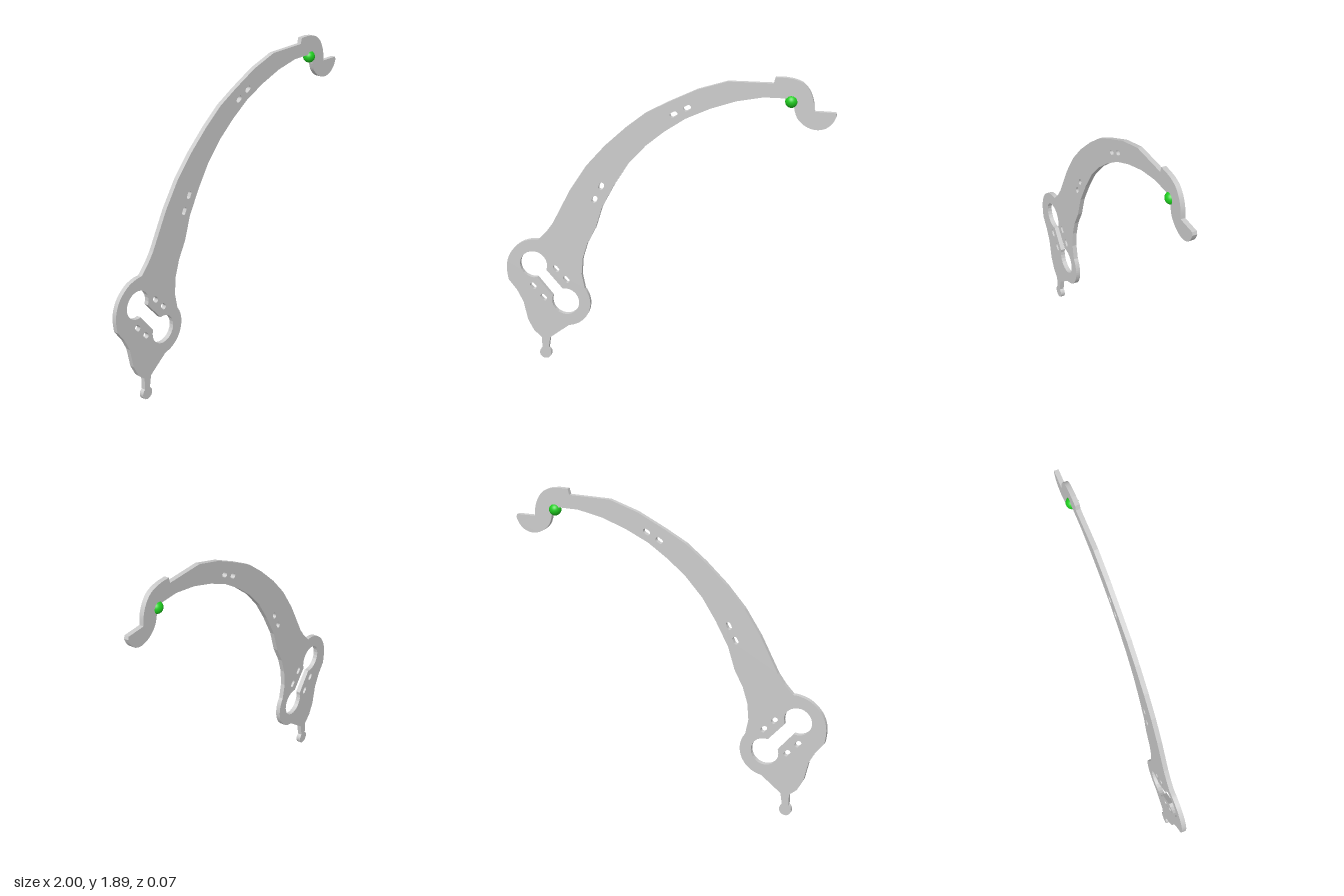
import * as THREE from 'three';

const THICKNESS = 0.028;

// Rounded slot hole centred on (x, y), with its long axis turned by angle
function slotHole(x, y, angle, length = 0.048, width = 0.03) {
  const r = width / 2, d = length / 2 - r;
  const dx = Math.cos(angle) * d, dy = Math.sin(angle) * d;
  const hole = new THREE.Path();
  hole.absarc(x + dx, y + dy, r, angle - Math.PI / 2, angle + Math.PI / 2);
  hole.absarc(x - dx, y - dy, r, angle + Math.PI / 2, angle + Math.PI * 1.5);
  hole.closePath();
  return hole;
}

// Two round openings joined by a diagonal channel
function doubleKeyhole() {
  const hole = new THREE.Path();
  hole.absarc(-0.826, 0.636, 0.087, -0.36, Math.PI * 2 - 1.33);
  hole.absarc(-0.626, 0.404, 0.087, 2.81, Math.PI * 2 + 1.78);
  hole.closePath();
  return hole;
}

function plateShape() {
  const s = new THREE.Shape();
  const lines = (pts) => pts.forEach(([x, y]) => s.lineTo(x, y));

  // Knob at the foot, its neck and the lower right lobe
  s.absarc(-0.767, 0.038, 0.038, Math.PI * 0.68, Math.PI * 2.32);
  s.lineTo(-0.735, 0.145);
  s.absarc(-0.628, 0.402, 0.16, -1.45, 0.65);
  // Inner edge of the arm
  lines([
    [-0.519, 0.594], [-0.51, 0.7], [-0.479, 0.8], [-0.425, 0.904], [-0.382, 1.043],
    [-0.302, 1.193], [-0.217, 1.326], [-0.11, 1.444], [0, 1.535], [0.126, 1.62],
    [0.27, 1.687], [0.425, 1.74], [0.58, 1.77], [0.71, 1.77],
  ]);
  // Hook
  lines([[0.748, 1.755], [0.758, 1.7]]);
  s.splineThru([
    [0.778, 1.652], [0.826, 1.61], [0.885, 1.593], [0.938, 1.604],
    [0.976, 1.636], [0.998, 1.679],
  ].map(([x, y]) => new THREE.Vector2(x, y)));
  lines([[0.992, 1.698], [0.869, 1.7]]);
  s.splineThru([
    [0.864, 1.76], [0.842, 1.818], [0.805, 1.861], [0.757, 1.882], [0.703, 1.89],
  ].map(([x, y]) => new THREE.Vector2(x, y)));
  // Step behind the hook and outer edge of the arm
  lines([
    [0.644, 1.89], [0.634, 1.854], [0.372, 1.853], [0.195, 1.797], [0.024, 1.714],
    [-0.11, 1.642], [-0.233, 1.545], [-0.366, 1.422], [-0.479, 1.294], [-0.58, 1.139],
    [-0.693, 0.92], [-0.735, 0.861], [-0.789, 0.803],
  ]);
  // Upper left lobe and taper to the foot
  s.splineThru([
    [-0.837, 0.799], [-0.901, 0.775], [-0.96, 0.722], [-0.992, 0.658],
    [-1, 0.594], [-0.992, 0.524],
  ].map(([x, y]) => new THREE.Vector2(x, y)));
  lines([[-0.939, 0.455], [-0.901, 0.38], [-0.874, 0.257], [-0.837, 0.187], [-0.789, 0.144]]);
  s.closePath();

  // Keyhole and paired slots
  s.holes.push(doubleKeyhole());
  [
    [-0.832, 0.492, -0.87], [-0.767, 0.42, -0.87], [-0.682, 0.618, -0.87], [-0.618, 0.551, -0.87],
    [-0.428, 1.088, 1.13], [-0.385, 1.174, 1.13],
    [0.056, 1.642, 0.5], [0.136, 1.684, 0.5],
  ].forEach(([x, y, a]) => s.holes.push(slotHole(x, y, a)));
  return s;
}

export function createModel() {
  const group = new THREE.Group();

  // Flat curved arm with hook
  const plateGeometry = new THREE.ExtrudeGeometry(plateShape(), {
    depth: THICKNESS, bevelEnabled: false, curveSegments: 10,
  });
  plateGeometry.translate(0, 0, -THICKNESS / 2);
  const plate = new THREE.Mesh(plateGeometry, new THREE.MeshStandardMaterial({ color: 0xcccccc }));
  plate.name = 'hookedArmPlate';
  group.add(plate);

  // Green ball in the notch under the hook
  const ball = new THREE.Mesh(
    new THREE.SphereGeometry(0.037, 32, 20),
    new THREE.MeshStandardMaterial({ color: 0x1fcc1f }),
  );
  ball.name = 'ball';
  ball.position.set(0.738, 1.751, 0);
  group.add(ball);

  return group;
}
